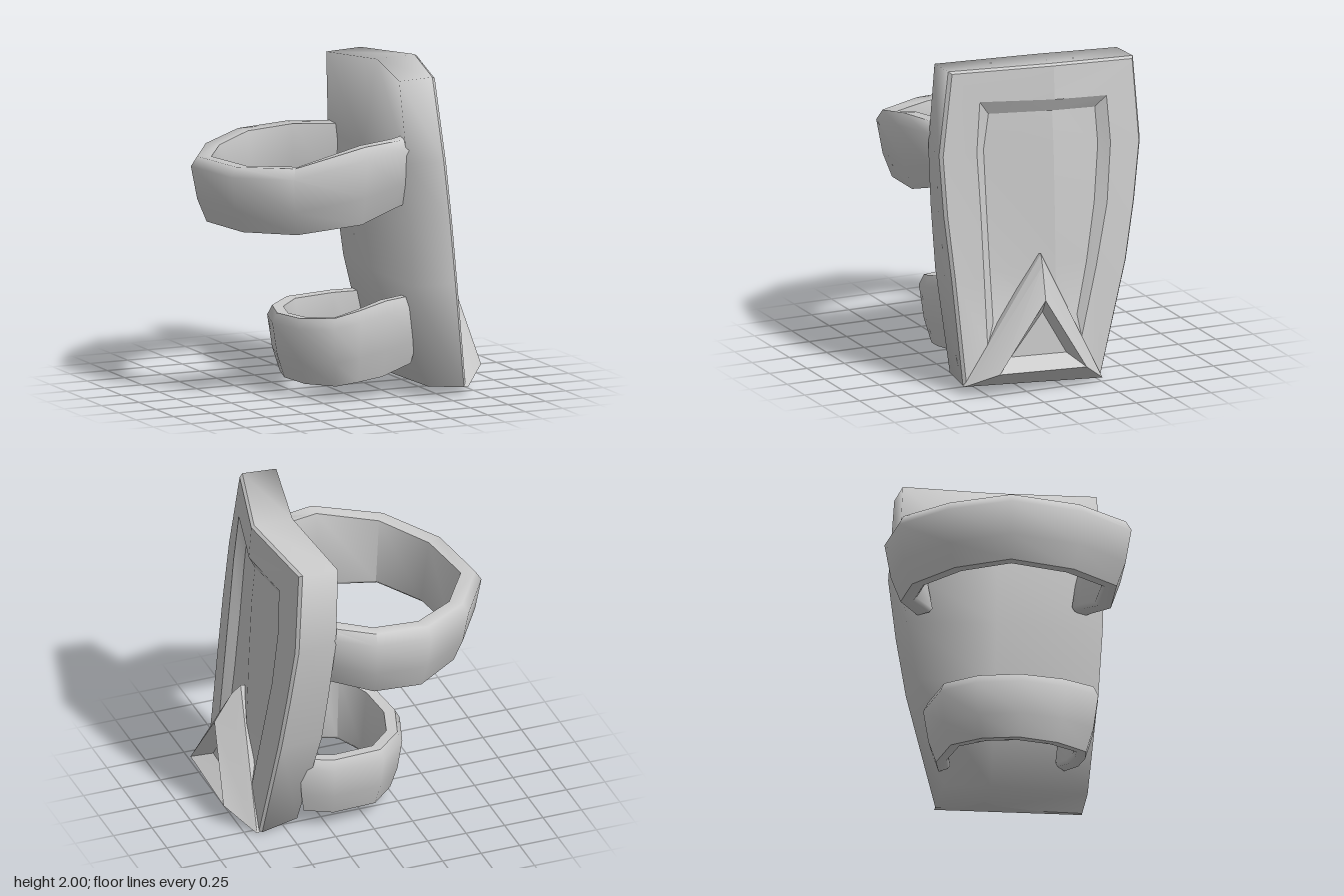
import * as THREE from 'three';
import { toCreasedNormals } from 'three/addons/utils/BufferGeometryUtils.js';

const material = new THREE.MeshStandardMaterial({ color: 0xcccccc });

// Mesh from a list of polygons (each fanned from its first corner)
function polyMesh(name, polys, crease) {
  const pos = [];
  for (const p of polys)
    for (let i = 1; i < p.length - 1; i++) pos.push(...p[0], ...p[i], ...p[i + 1]);
  const g = new THREE.BufferGeometry();
  g.setAttribute('position', new THREE.Float32BufferAttribute(pos, 3));
  const mesh = new THREE.Mesh(toCreasedNormals(g, crease), material);
  mesh.name = name;
  return mesh;
}

// Quads joining successive closed loops
function loft(loops) {
  const out = [];
  for (let j = 0; j < loops.length - 1; j++) {
    const a = loops[j], b = loops[j + 1], n = a.length;
    for (let i = 0; i < n; i++) {
      const k = (i + 1) % n;
      out.push([a[i], a[k], b[k], b[i]]);
    }
  }
  return out;
}

// Outer surface of the plate: ridged along z = 0, flattening toward the bottom
const surfaceX = (z, y) =>
  0.665 - 0.032 * y - (0.02 + 0.125 * y) * (z > 0 ? z : -0.6 * z);

// Rows of [front z, y, middle y, back z, y], laid on the surface;
// offsets holds [front, middle, back] for each row
function sheet(rows, offsets, inset = 0) {
  return rows.map(([zf, yf, ym, zb, yb], i) =>
    [[zf, yf], [0, ym], [zb, yb]].map(([z0, y0], j) => {
      const z = z0 * (1 - inset);
      const y = 1 + (y0 - 1) * (1 - inset / 2);
      return [surfaceX(z, y) + offsets[i][j], y, z];
    }));
}

function perimeter(s) {
  const last = s.length - 1;
  return [...s.map(r => r[0]), s[last][1], ...s.map(r => r[2]).reverse(), s[0][1]];
}

function gridFaces(s, flip) {
  const out = [];
  for (let i = 0; i < s.length - 1; i++)
    for (let j = 0; j < 2; j++) {
      const q = [s[i][j], s[i + 1][j], s[i + 1][j + 1], s[i][j + 1]];
      out.push(flip ? q.reverse() : q);
    }
  return out;
}

function makePlate() {
  const outline = [
    [0.62, 1.98, 2.0, -0.58, 1.95], [0.70, 1.47, 1.46, -0.61, 1.43],
    [0.69, 1.10, 1.08, -0.555, 1.06], [0.66, 0.70, 0.70, -0.485, 0.70],
    [0.62, 0.05, 0.025, -0.29, 0.0],
  ];
  const backOutline = [
    [0.61, 1.97, 1.99, -0.58, 1.94], [0.665, 1.47, 1.46, -0.60, 1.43],
    [0.66, 1.10, 1.08, -0.545, 1.06], [0.64, 0.70, 0.70, -0.475, 0.70],
    [0.60, 0.07, 0.06, -0.29, 0.05],
  ];
  const rim = [
    [0.45, 1.79, 1.78, -0.37, 1.745], [0.48, 1.48, 1.47, -0.39, 1.45],
    [0.47, 1.10, 1.09, -0.355, 1.08], [0.465, 0.70, 0.70, -0.27, 0.70],
    [0.46, 0.28, 0.27, -0.16, 0.27],
  ];
  const floor = [
    [0.38, 1.70, 1.70, -0.31, 1.67], [0.415, 1.48, 1.46, -0.325, 1.44],
    [0.41, 1.10, 1.09, -0.29, 1.08], [0.405, 0.75, 0.735, -0.225, 0.72],
    [0.40, 0.41, 0.40, -0.15, 0.40],
  ];
  const even = d => outline.map(() => [d, d, d]);
  // the back swells out between its top and bottom edges
  const back = sheet(backOutline, [
    [-0.235, -0.265, -0.245], [-0.25, -0.37, -0.26], [-0.27, -0.38, -0.27],
    [-0.295, -0.35, -0.28], [-0.245, -0.265, -0.24],
  ]);
  const edge = sheet(outline, even(-0.015));
  const face = sheet(outline, even(0.003), 0.025);
  const lip = sheet(rim, even(0.012));
  const panel = sheet(floor, [
    [-0.04, -0.03, -0.04], [-0.045, -0.015, -0.04], [-0.045, -0.01, -0.04],
    [-0.04, -0.01, -0.035], [-0.03, -0.01, -0.03],
  ]);
  const plate = new THREE.Group();
  plate.name = 'plate';
  plate.add(
    polyMesh('plateShell', [
      ...gridFaces(back, true), ...loft([back, edge].map(perimeter)),
    ], 1.75),
    polyMesh('plateFace', [
      ...loft([edge, face, lip, panel].map(perimeter)), ...gridFaces(panel, false),
    ], 0.35),
  );
  return plate;
}

// Raised triangular boss with a sunken centre; corners are apex, front, back
function makeBoss() {
  const loops = [
    [[0.52, 0.80, 0.10], [0.54, 0.07, 0.60], [0.54, 0.03, -0.27]],
    [[0.635, 0.82, 0.10], [0.655, 0.05, 0.625], [0.68, 0.0, -0.29]],
    [[0.69, 0.76, 0.115], [0.675, 0.06, 0.605], [0.70, 0.015, -0.27]],
    [[0.79, 0.57, 0.14], [0.82, 0.15, 0.46], [0.83, 0.13, -0.115]],
    [[0.72, 0.48, 0.13], [0.72, 0.22, 0.34], [0.72, 0.205, -0.03]],
  ];
  return polyMesh('triangleBoss', [[...loops[0]].reverse(), ...loft(loops), loops[4]], 0.4);
}

// Strap: a tilted band section [inward, height fraction] carried along a path of
// [x, z, bottom, top], inward being toward the axis at (cx, cz)
function makeStrap(name, cx, cz, thick, path) {
  const section = [
    [0.2, 0.35], [0, 0.85], [0.2, 1], [0.65, 0.99],
    [1, 0.07], [0.9, 0.02], [0.5, 0],
  ];
  const loops = path.map(([x, z, y0, y1]) => {
    const d = Math.hypot(cx - x, cz - z);
    return section.map(([u, t]) => {
      const s = (u * thick) / d;
      return [x + (cx - x) * s, y0 + (y1 - y0) * t, z + (cz - z) * s];
    });
  });
  return polyMesh(name, [
    [...loops[0]].reverse(), ...loft(loops), loops[loops.length - 1],
  ], 1.1);
}

export function createModel() {
  const group = new THREE.Group();
  group.name = 'armGuard';
  group.add(
    makePlate(),
    makeBoss(),
    makeStrap('upperStrap', -0.04, 0.02, 0.195, [
      [0.33, 0.63, 1.20, 1.62], [0.22, 0.67, 1.18, 1.61], [-0.06, 0.735, 1.11, 1.60],
      [-0.52, 0.66, 1.07, 1.49], [-0.77, 0.30, 1.05, 1.46], [-0.83, -0.16, 1.05, 1.455],
      [-0.61, -0.51, 1.05, 1.46], [-0.28, -0.735, 1.05, 1.49], [0.07, -0.74, 1.07, 1.51],
      [0.36, -0.56, 1.11, 1.52],
    ]),
    makeStrap('lowerStrap', 0.1, 0.05, 0.155, [
      [0.40, 0.51, 0.19, 0.62], [0.16, 0.56, 0.13, 0.605], [-0.03, 0.565, 0.11, 0.56],
      [-0.19, 0.53, 0.09, 0.52], [-0.33, 0.30, 0.08, 0.49], [-0.365, 0.01, 0.08, 0.48],
      [-0.28, -0.25, 0.08, 0.48], [-0.09, -0.43, 0.09, 0.49], [0.24, -0.46, 0.10, 0.50],
      [0.44, -0.39, 0.12, 0.51],
    ]),
  );
  return group;
}
